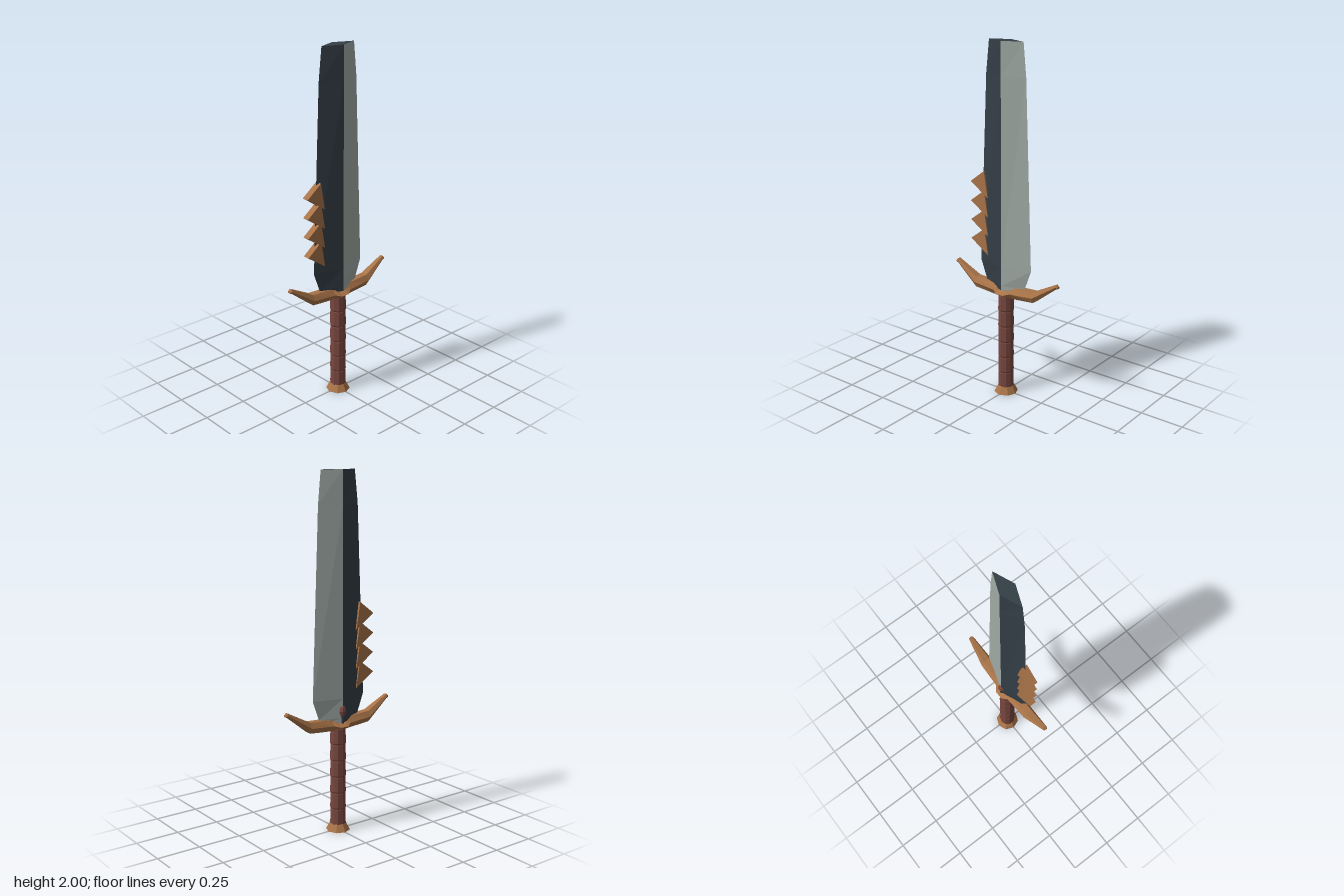
import * as THREE from 'three';

const mat = (color) => new THREE.MeshStandardMaterial({ color, flatShading: true });
const v = (x, y, z) => new THREE.Vector3(x, y, z);

// Faceted skin through matching cross-sections; closed joins each ring, capped fills the ends
function loft(rings, { closed = true, capped = true } = {}) {
  const tris = [];
  const n = rings[0].length;
  for (let i = 0; i < rings.length - 1; i++) {
    for (let j = 0; j < (closed ? n : n - 1); j++) {
      const k = (j + 1) % n;
      const a = rings[i][j], b = rings[i][k], c = rings[i + 1][k], d = rings[i + 1][j];
      tris.push(a, b, c, a, c, d);
    }
  }
  if (capped) {
    const s = rings[0], e = rings[rings.length - 1];
    for (let j = 1; j < n - 1; j++) tris.push(s[0], s[j + 1], s[j], e[0], e[j], e[j + 1]);
  }
  const g = new THREE.BufferGeometry().setFromPoints(tris);
  g.computeVertexNormals();
  return g;
}

export function createModel() {
  const model = new THREE.Group();
  const dark = mat(0x343e46), steel = mat(0xa0aaa5), wood = mat(0xa87348), leather = mat(0x78463f);
  const add = (name, geometry, material, parent = model) => {
    const m = new THREE.Mesh(geometry, material);
    m.name = name;
    parent.add(m);
    return m;
  };

  // Blade: diamond section, one dark and one pale half; [y, left, right]
  const blade = new THREE.Group();
  blade.name = 'blade';
  model.add(blade);
  const T = 0.045;
  const levels = [[0.635, 0.12, 0.12], [0.66, 0.135, 0.13], [0.77, 0.176, 0.17], [1.82, 0.132, 0.13], [2, 0.112, 0.112]];
  const open = { closed: false, capped: false };
  add('paleHalf', loft(levels.map(([y, , r]) => [v(0, y, T), v(r, y, 0), v(0, y, -T)]), open), steel, blade);
  add('darkHalf', loft(levels.map(([y, l]) => [v(0, y, -T), v(-l, y, 0), v(0, y, T)]), open), dark, blade);
  const ends = [levels[0], levels[4]].map(([y, l, r]) => [v(0, y, T), v(r, y, 0), v(0, y, -T), v(-l, y, 0)]);
  const caps = loft(ends);
  // keep only the two end faces, which follow the 8 side triangles
  caps.setDrawRange(0, Infinity);
  const capPositions = caps.getAttribute('position').array.slice(8 * 9);
  const capGeometry = new THREE.BufferGeometry();
  capGeometry.setAttribute('position', new THREE.BufferAttribute(capPositions, 3));
  capGeometry.computeVertexNormals();
  add('bladeEnds', capGeometry, dark, blade);

  // Teeth on the dark edge
  const teeth = new THREE.Group();
  teeth.name = 'teeth';
  model.add(teeth);
  const tooth = new THREE.Shape([
    new THREE.Vector2(-0.138, 0.07), new THREE.Vector2(-0.23, 0), new THREE.Vector2(-0.112, -0.08),
  ]);
  const toothGeometry = new THREE.ExtrudeGeometry(tooth, { depth: 0.04, bevelEnabled: false });
  toothGeometry.translate(0, 0, -0.02);
  for (let i = 0; i < 4; i++) add('tooth', toothGeometry, wood, teeth).position.y = 0.888 + i * 0.11;

  // Guard: hexagonal section swept across x; [x, bottom, top, half depth]
  const half = [[0.025, 0.587, 0.642, 0.065], [0.055, 0.59, 0.655, 0.041], [0.2, 0.602, 0.663, 0.035], [0.34, 0.712, 0.737, 0.015], [0.352, 0.716, 0.727, 0.011]];
  const stations = [...half.map(([x, ...s]) => [-x, ...s]).reverse(), ...half];
  add('guard', loft(stations.map(([x, b, t, d]) => {
    const m = (b + t) / 2, f = Math.min(0.02, d * 0.6);
    return [v(x, t, -f), v(x, t, f), v(x, m, d), v(x, b, f), v(x, b, -f), v(x, m, -d)];
  })), wood);

  // Grip: wrapped sections with shallow grooves between them
  const profile = [];
  const wraps = 6, y0 = 0.035, step = 0.565 / wraps;
  for (let i = 0; i < wraps; i++) {
    const y = y0 + i * step;
    profile.push(new THREE.Vector2(0.042, y), new THREE.Vector2(0.046, y + 0.008),
      new THREE.Vector2(0.044, y + step - 0.006));
  }
  profile.push(new THREE.Vector2(0.042, y0 + wraps * step));
  add('grip', new THREE.LatheGeometry(profile, 10), leather);

  // Pommel
  add('pommel', new THREE.CylinderGeometry(0.046, 0.068, 0.042, 8), wood).position.y = 0.021;

  // Small bead on a stem behind the blade
  const bead = add('bead', new THREE.SphereGeometry(0.023, 6, 4), leather);
  bead.scale.set(1, 1.4, 0.8);
  bead.position.set(0, 0.7, -0.043);
  add('beadStem', new THREE.CylinderGeometry(0.012, 0.007, 0.05, 6), dark).position.set(0, 0.655, -0.043);

  return model;
}
